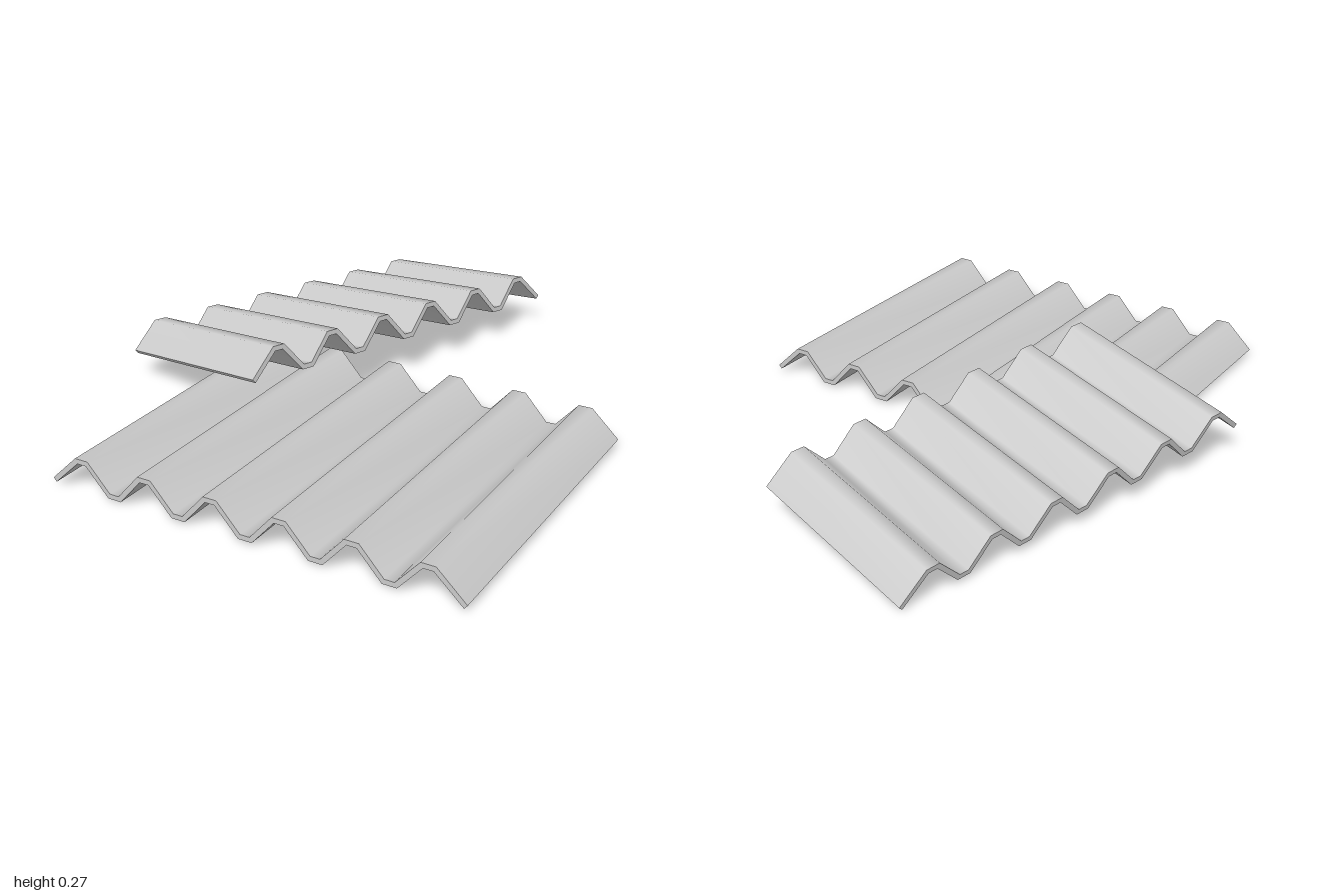
import * as THREE from 'three';
import { mergeGeometries } from 'three/addons/utils/BufferGeometryUtils.js';

const WAVES = 6, WIDTH = 1.353, PITCH = WIDTH / WAVES;
const MID = 0.058, RISE = 0.042, HALF = 0.008, FLAT = 0.019;

// Trapezoid wave; side = 1 is the upper skin, -1 the lower one
function profile(side) {
  const crest = FLAT + 0.0035 * side, valley = FLAT - 0.0035 * side;
  const yTop = MID + RISE + HALF * side, yLow = MID - RISE + HALF * side;
  const end = WIDTH / 2 + (side > 0 ? 0 : -0.01);
  const pts = [[-end, yLow - 0.002 * side]];
  for (let i = 0; i < WAVES; i++) {
    const x = -WIDTH / 2 + (i + 0.5) * PITCH;
    pts.push([x - crest, yTop], [x + crest, yTop]);
    if (i < WAVES - 1) {
      const v = x + PITCH / 2;
      pts.push([v - valley, yLow], [v + valley, yLow]);
    }
  }
  pts.push([end, yLow - 0.002 * side]);
  return pts;
}

// Smooth strip of quads between two rows of points
function strip(a, b) {
  const index = [], n = a.length;
  for (let i = 0; i < n - 1; i++) index.push(i, n + i, i + 1, i + 1, n + i, n + i + 1);
  const g = new THREE.BufferGeometry();
  g.setAttribute('position', new THREE.Float32BufferAttribute([...a, ...b].flat(), 3));
  g.setIndex(index);
  g.computeVertexNormals();
  return g;
}

// Corrugated sheet with ridges along z: two skins and four rims
function sheetGeometry(length) {
  const row = (side, z) => profile(side).map(([x, y]) => [x, y, z]);
  const z = length / 2;
  const tb = row(1, -z), tf = row(1, z), bb = row(-1, -z), bf = row(-1, z);
  const last = tb.length - 1;
  return mergeGeometries([
    strip(tb, tf), strip(bf, bb),
    strip(tf, bf), strip(bb, tb),
    strip([tf[last], tb[last]], [bf[last], bb[last]]),
    strip([tb[0], tf[0]], [bb[0], bf[0]]),
  ]);
}

export function createModel() {
  const group = new THREE.Group();
  const material = new THREE.MeshStandardMaterial({ color: 0xcccccc });

  // Sheet lying flat
  const lower = new THREE.Mesh(sheetGeometry(1.04), material);
  lower.name = 'flatSheet';
  lower.position.set(0.125, 0, 0.48);
  group.add(lower);

  // Second sheet, turned and leaning on the first
  const upper = new THREE.Mesh(sheetGeometry(0.631), material);
  upper.name = 'leaningSheet';
  const across = new THREE.Vector3(-0.385, 0.09, 1.297).normalize();
  const ridge = new THREE.Vector3(-0.6, -0.095, -0.17).normalize();
  const up = new THREE.Vector3().crossVectors(ridge, across).normalize();
  ridge.crossVectors(across, up);
  upper.quaternion.setFromRotationMatrix(new THREE.Matrix4().makeBasis(across, up, ridge));
  upper.position.set(-0.3125, 0.1, -0.2675).addScaledVector(up, -0.016);
  group.add(upper);

  return group;
}
